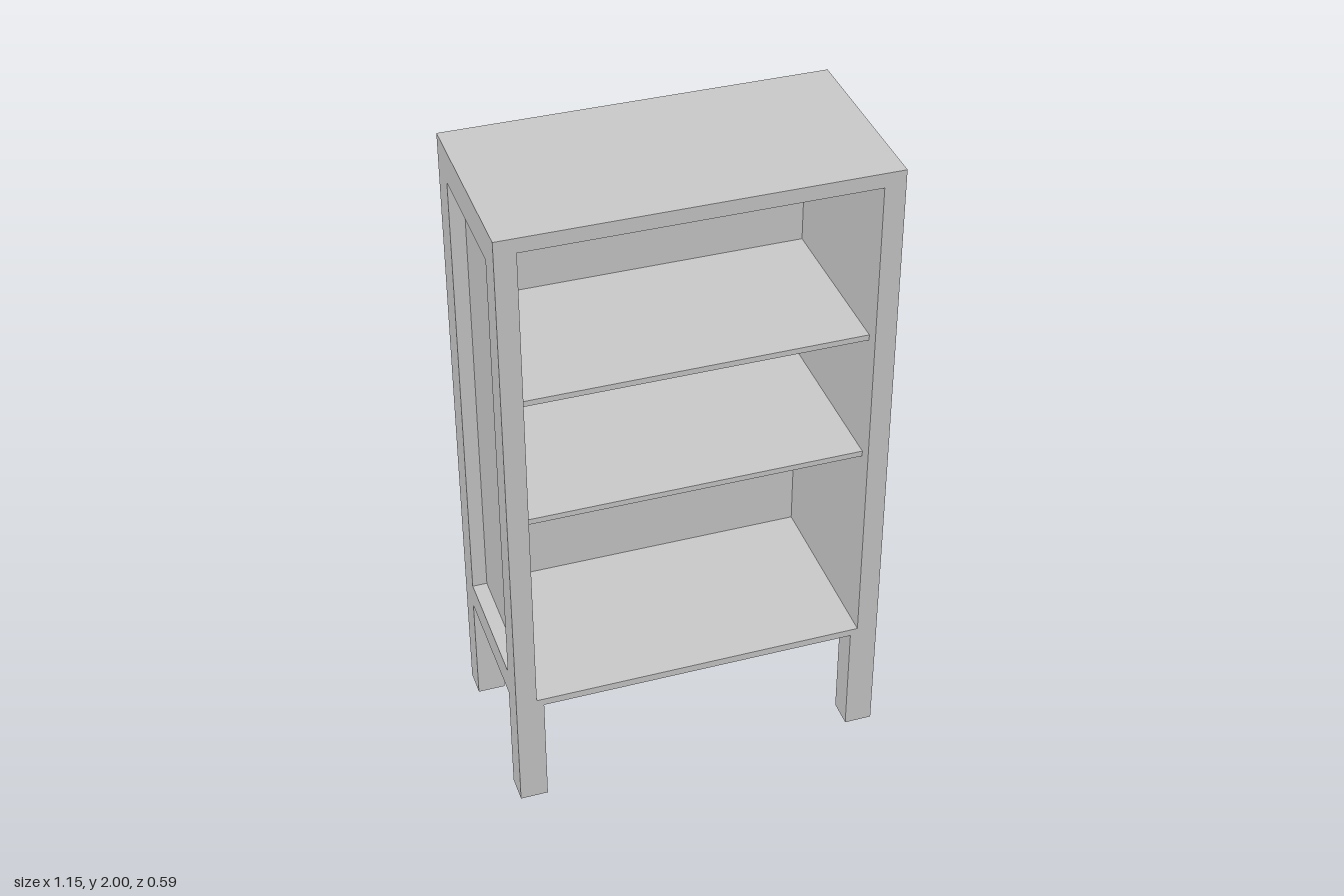
import * as THREE from 'three';

const W = 0.573, D = 0.293, H = 2;        // half width, half depth, height
const IN = 0.51, BASE = 0.365, LEG = 0.085;
const FRAME = 0.045, BACK = 0.012;        // side frame and back panel thickness

export function createModel() {
  const group = new THREE.Group();
  const mat = new THREE.MeshStandardMaterial({ color: 0xcccccc });

  function add(name, geometry) {
    const mesh = new THREE.Mesh(geometry, mat);
    mesh.name = name;
    group.add(mesh);
    return mesh;
  }

  // Box given by its limits on each axis
  function box(name, x0, x1, y0, y1, z0, z1) {
    add(name, new THREE.BoxGeometry(x1 - x0, y1 - y0, z1 - z0))
      .position.set((x0 + x1) / 2, (y0 + y1) / 2, (z0 + z1) / 2);
  }

  function rect(path, a0, b0, a1, b1) {
    path.moveTo(a0, b0);
    path.lineTo(a1, b0);
    path.lineTo(a1, b1);
    path.lineTo(a0, b1);
    path.closePath();
    return path;
  }

  // Side frame outline, with the window for the recessed panel
  const outline = rect(new THREE.Shape(), -D, BASE, D, H);
  outline.holes.push(rect(new THREE.Path(), -0.208, 0.45, 0.2, 1.895));
  const frameGeo = new THREE.ExtrudeGeometry(outline, { depth: FRAME, bevelEnabled: false });
  frameGeo.rotateY(Math.PI / 2);          // shape x runs to -z, depth runs to +x

  for (const s of [-1, 1]) {
    const side = s > 0 ? 'left' : 'right';
    add(side + 'SideFrame', frameGeo).position.x = s > 0 ? W - FRAME : -W;

    // Recessed panel lining the inside of the frame
    const a = s * IN, b = s * (W - FRAME);
    box(side + 'SidePanel', Math.min(a, b), Math.max(a, b), BASE, H, -D, D);

    // Square legs, front and back
    const l0 = s * W, l1 = s * (W - LEG);
    for (const [end, z] of [['Front', D - LEG], ['Back', -D]]) {
      box(side + end + 'Leg', Math.min(l0, l1), Math.max(l0, l1), 0, BASE, z, z + LEG);
    }
  }

  // Top, bottom and back boards between the sides
  box('topBoard', -IN, IN, 1.955, H, -D, D);
  box('bottomBoard', -IN, IN, BASE, 0.388, -D, D);
  box('backPanel', -IN, IN, 0.388, 1.955, -D, -D + BACK);

  // Shelves, set slightly behind the front edge
  for (const [name, y] of [['lowerShelf', 1.022], ['upperShelf', 1.433]]) {
    box(name, -IN, IN, y, y + 0.018, -D + BACK, 0.25);
  }
  return group;
}
